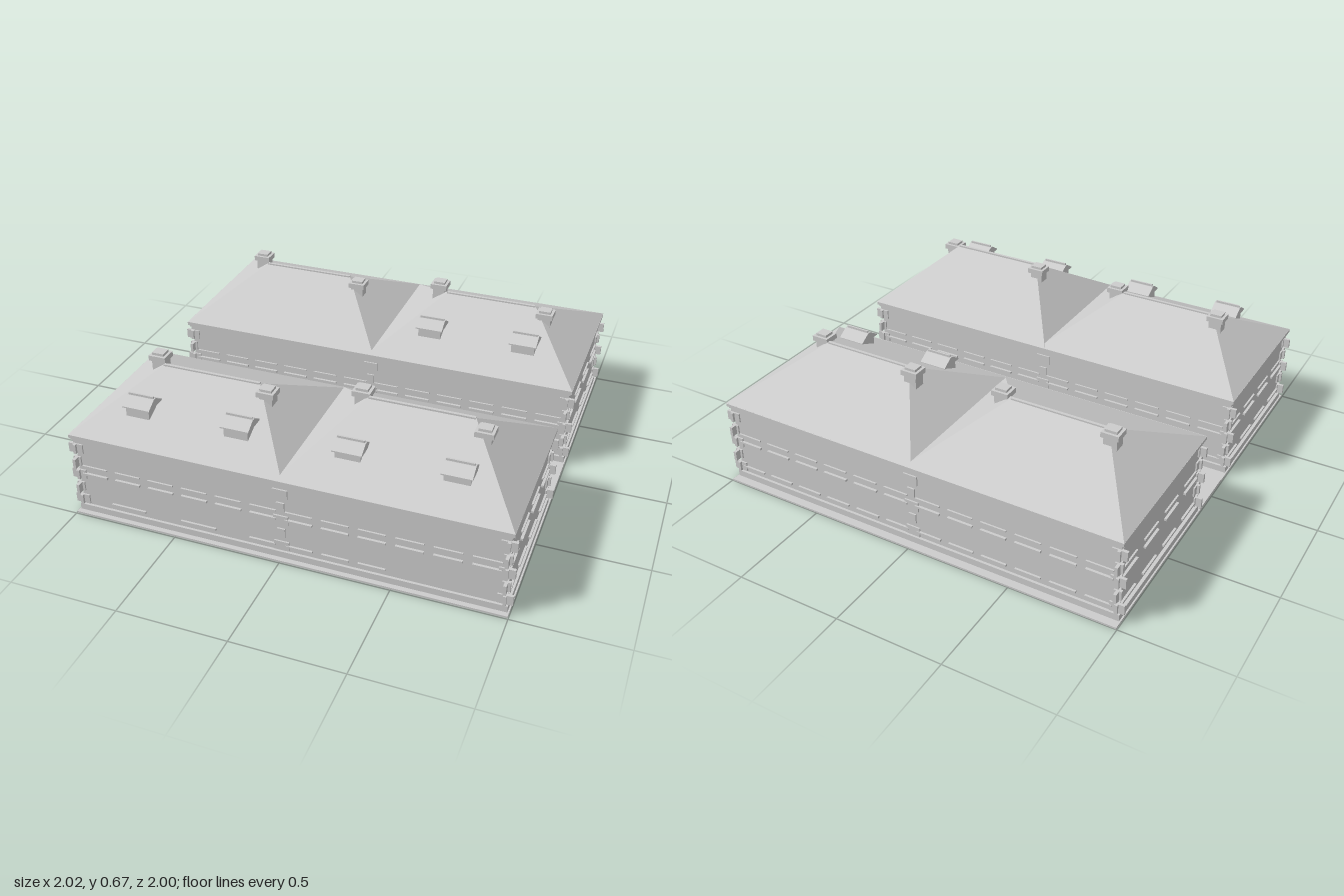
import * as THREE from 'three';

const stone = new THREE.MeshStandardMaterial({ color: 0xcccccc, flatShading: true });
stone.name = 'pale grey';

// Box given by its limits on each axis
function box(parent, name, x0, x1, y0, y1, z0, z1) {
  const mesh = new THREE.Mesh(new THREE.BoxGeometry(x1 - x0, y1 - y0, z1 - z0), stone);
  mesh.position.set((x0 + x1) / 2, (y0 + y1) / 2, (z0 + z1) / 2);
  mesh.name = name;
  parent.add(mesh);
  return mesh;
}

// Hipped roof: rectangular eaves rising to a ridge along x
function hipRoof(parent, x0, x1, z0, z1, eave, rx0, rx1, rz, top) {
  const geo = new THREE.BufferGeometry();
  geo.setAttribute('position', new THREE.Float32BufferAttribute([
    x0, eave, z1, x1, eave, z1, x1, eave, z0, x0, eave, z0,
    rx0, top, rz, rx1, top, rz], 3));
  geo.setIndex([0, 1, 5, 0, 5, 4, 1, 2, 5, 2, 3, 4, 2, 4, 5, 3, 0, 4, 0, 3, 2, 0, 2, 1]);
  const flat = geo.toNonIndexed();
  flat.computeVertexNormals();
  const mesh = new THREE.Mesh(flat, stone);
  mesh.name = 'hipRoof';
  parent.add(mesh);
  box(parent, 'ridgeCap', rx0, rx1, top - 0.01, top + 0.004, rz - 0.007, rz + 0.007);
}

// Chimney stack with a wide cap and a small pot
function chimney(parent, x, z, top) {
  const g = new THREE.Group();
  g.name = 'chimney';
  box(g, 'stack', x - 0.031, x + 0.031, top - 0.13, top - 0.03, z - 0.028, z + 0.028);
  box(g, 'chimneyCap', x - 0.041, x + 0.041, top - 0.037, top - 0.012, z - 0.037, z + 0.037);
  box(g, 'chimneyPot', x - 0.028, x + 0.028, top - 0.012, top, z - 0.025, z + 0.025);
  parent.add(g);
}

// Dormer with a small gable whose ridge runs along x
function dormer(parent, x, z) {
  const g = new THREE.Group();
  g.name = 'dormer';
  box(g, 'dormerBody', x - 0.056, x + 0.056, 0.47, 0.53, z - 0.05, z + 0.045);
  const s = new THREE.Shape([[-0.058, 0], [0.058, 0], [0.058, 0.006], [0.008, 0.037],
    [-0.008, 0.037], [-0.058, 0.006]].map(p => new THREE.Vector2(p[0], p[1])));
  const roof = new THREE.Mesh(
    new THREE.ExtrudeGeometry(s, { depth: 0.132, bevelEnabled: false }), stone);
  roof.rotation.y = Math.PI / 2;
  roof.position.set(x - 0.066, 0.526, z);
  roof.name = 'dormerRoof';
  g.add(roof);
  box(g, 'dormerRidge', x - 0.06, x + 0.06, 0.56, 0.573, z - 0.004, z + 0.004);
  parent.add(g);
}

// Alternating corner stones around a point on the wall
function quoins(parent, x, z) {
  for (let i = 0; i < 5; i++) {
    const y = 0.045 + i * 0.068;
    const a = i % 2 ? 0.018 : 0.034, b = i % 2 ? 0.034 : 0.018;
    box(parent, 'quoin', x - a, x + a, y, y + 0.046, z - 0.007, z + 0.007);
    if (Math.abs(x) > 0.5) box(parent, 'quoin', x - 0.007, x + 0.007, y, y + 0.046, z - b, z + b);
  }
}

// A long block: plinth, walls, cornice, string mouldings and quoins
function block(name, z0, z1, frontGround, backGround) {
  const g = new THREE.Group();
  g.name = name;
  const X = 0.975;
  box(g, 'plinth', -X - 0.015, X + 0.015, 0.008, 0.04, z0 - 0.012, z1 + 0.012);
  box(g, 'walls', -X, X, 0.03, 0.39, z0, z1);
  box(g, 'lowerCornice', -X - 0.008, X + 0.008, 0.37, 0.386, z0 - 0.008, z1 + 0.008);
  box(g, 'upperCornice', -X - 0.014, X + 0.014, 0.386, 0.397, z0 - 0.012, z1 + 0.012);
  box(g, 'eaves', -X - 0.021, X + 0.021, 0.396, 0.413, z0 - 0.018, z1 + 0.018);

  // Window sills and heads on the long sides
  for (const [z, ground] of [[z1, frontGround], [z0, backGround]]) {
    for (let i = 0; i < 12; i++) {
      const x = -0.893 + i * 0.1624;
      box(g, 'windowHead', x - 0.061, x + 0.061, 0.245, 0.252, z - 0.008, z + 0.008);
      box(g, 'windowSill', x - 0.061, x + 0.061, 0.204, 0.214, z - 0.012, z + 0.012);
    }
    for (const [x, w] of ground)
      box(g, 'groundSill', x - w / 2, x + w / 2, 0.065, 0.074, z - 0.01, z + 0.01);
    for (const x of [-X, 0, X]) quoins(g, x, z);
  }
  // The same on the short ends
  const pitch = (z1 - z0 + 0.025) / 4;
  for (const x of [-X, X]) for (let i = 0; i < 4; i++) {
    const z = (z0 + z1) / 2 + (i - 1.5) * pitch;
    box(g, 'windowHead', x - 0.008, x + 0.008, 0.245, 0.252, z - 0.067, z + 0.067);
    box(g, 'windowSill', x - 0.012, x + 0.012, 0.204, 0.214, z - 0.067, z + 0.067);
    box(g, 'groundSill', x - 0.01, x + 0.01, 0.065, 0.074, z - 0.067, z + 0.067);
  }
  return g;
}

export function createModel() {
  const model = new THREE.Group();
  model.name = 'terraceBlocks';

  // Ground slab and the raised yard between the blocks
  box(model, 'groundSlab', -0.997, 0.997, 0, 0.009, -1, 0.995);
  box(model, 'courtyard', -0.997, 0.997, 0.005, 0.015, -0.125, 0.13);

  const street = [[-0.74, 0.17], [-0.395, 0.17], [-0.09, 0.122], [0.08, 0.122],
    [0.244, 0.122], [0.406, 0.122]];
  const plain = Array.from({ length: 12 }, (_, i) => [-0.893 + i * 0.1624, 0.122]);
  const front = block('frontBlock', 0.205, 0.96, street, plain);
  const back = block('backBlock', -0.95, -0.153, [], plain);
  model.add(front, back);

  // Roofs, two to each block, meeting in a valley
  hipRoof(front, -0.997, 0.018, 0.185, 0.978, 0.412, -0.72, -0.25, 0.58, 0.605);
  hipRoof(front, -0.018, 0.997, 0.185, 0.978, 0.412, 0.255, 0.72, 0.58, 0.643);
  hipRoof(back, -0.997, 0.018, -0.97, -0.135, 0.412, -0.72, -0.26, -0.553, 0.605);
  hipRoof(back, -0.018, 0.997, -0.97, -0.135, 0.412, 0.265, 0.715, -0.553, 0.605);

  // Chimneys beside each ridge end
  const stacks = [[-0.76, 0.645], [-0.195, 0.62], [0.215, 0.645], [0.775, 0.62]];
  stacks.forEach(([x, top], i) => {
    chimney(front, x, i % 2 ? 0.622 : 0.538, top + (i > 1 ? 0.02 : 0));
    chimney(back, x, i % 2 ? -0.508 : -0.595, top);
  });

  // Dormers on the front slopes
  for (const x of [-0.72, -0.25, 0.255, 0.72]) dormer(front, x, 0.795);
  for (const x of [0.255, 0.72]) dormer(back, x, -0.33);

  // Stepped entrances facing the yard
  for (const x of [-0.76, -0.485, 0.475, 0.742]) {
    box(back, 'entranceStep', x - 0.1, x + 0.1, 0.01, 0.07, -0.16, -0.125);
    box(back, 'entranceParapet', x - 0.1, x + 0.1, 0.07, 0.125, -0.16, -0.137);
  }
  return model;
}
